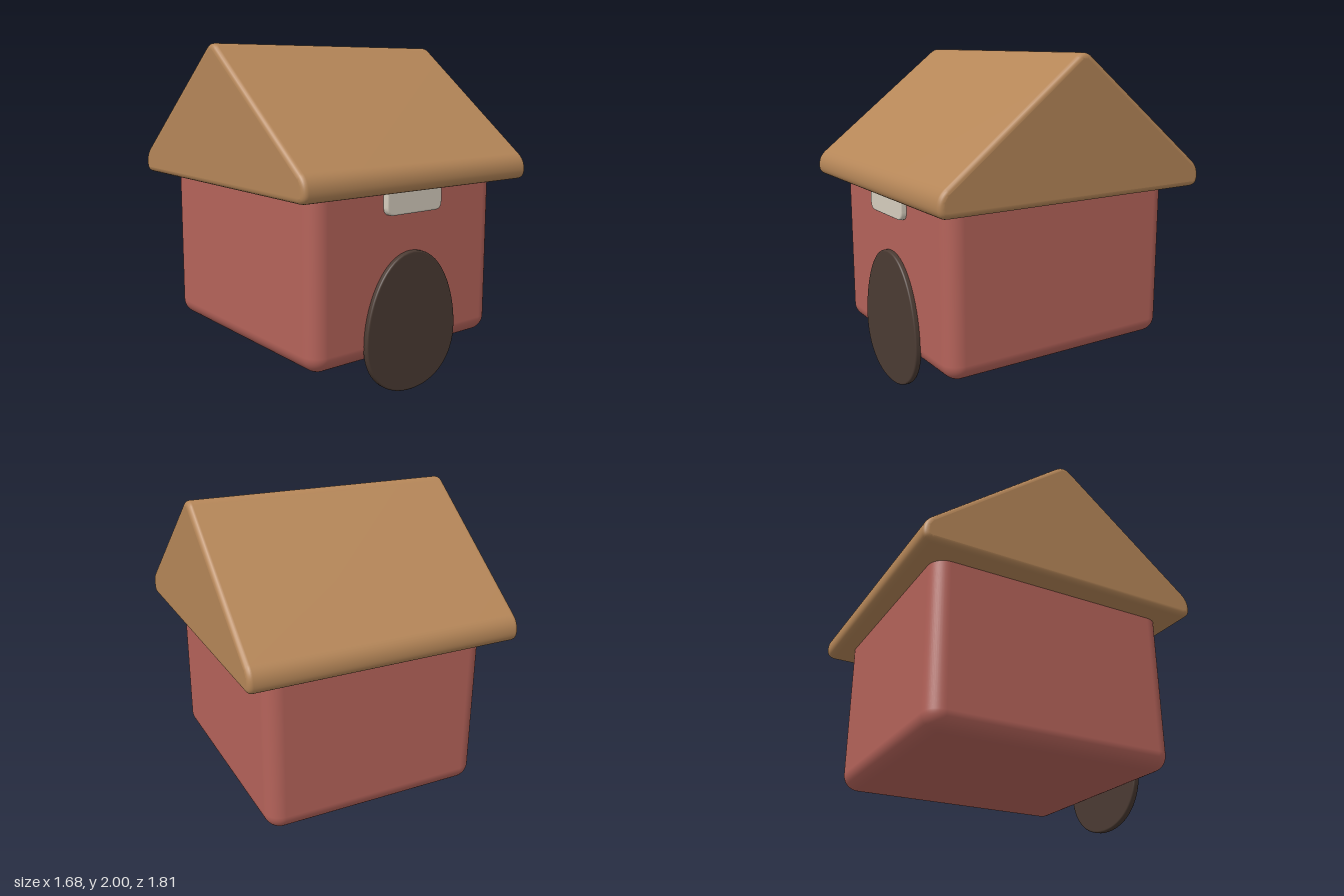
import * as THREE from 'three';
import { mergeVertices } from 'three/addons/utils/BufferGeometryUtils.js';
import { RoundedBoxGeometry } from 'three/addons/geometries/RoundedBoxGeometry.js';

// Extrudes a shape to the given overall depth, centred, with soft edges inside its outline
function softExtrude(shape, depth, bevel, curveSegments) {
  let geo = new THREE.ExtrudeGeometry(shape, {
    depth: depth - 2 * bevel, curveSegments, bevelEnabled: true,
    bevelSize: bevel, bevelThickness: bevel, bevelOffset: -bevel, bevelSegments: 4,
  });
  geo.translate(0, 0, bevel - depth / 2);
  geo.deleteAttribute('normal');
  geo.deleteAttribute('uv');
  geo = mergeVertices(geo, 1e-4);
  geo.computeVertexNormals();
  return geo;
}

// Closed shape from [x, y, trim] corners, each rounded off by its trim length
function roundedPolygon(corners) {
  const pts = corners.map(([x, y]) => new THREE.Vector2(x, y));
  const n = pts.length;
  const shape = new THREE.Shape();
  pts.forEach((p, i) => {
    const toward = (q) => p.clone().add(q.clone().sub(p).setLength(corners[i][2]));
    const a = toward(pts[(i + n - 1) % n]);
    const b = toward(pts[(i + 1) % n]);
    if (i === 0) shape.moveTo(a.x, a.y);
    else shape.lineTo(a.x, a.y);
    shape.quadraticCurveTo(p.x, p.y, b.x, b.y);
  });
  shape.closePath();
  return shape;
}

export function createModel() {
  const group = new THREE.Group();
  const add = (name, geometry, color) => {
    const mesh = new THREE.Mesh(geometry, new THREE.MeshStandardMaterial({ color }));
    mesh.name = name;
    group.add(mesh);
    return mesh;
  };

  // Walls, with the top tucked inside the roof
  const walls = add('walls', new RoundedBoxGeometry(1.39, 1.08, 1.55, 6, 0.1), 0xb5635a);
  walls.position.y = 0.76;

  // Gabled roof, ridge along x
  const gable = roundedPolygon([
    [-0.905, 1.19, 0.06], [0.905, 1.19, 0.06], [0.905, 1.31, 0.06],
    [0, 2.02, 0.064], [-0.905, 1.31, 0.06],
  ]);
  const roof = add('roof', softExtrude(gable, 1.68, 0.03, 8), 0xb58658);
  roof.rotation.y = Math.PI / 2;

  // Egg-shaped doorway
  const egg = new THREE.Shape();
  egg.moveTo(0, 0.003);
  egg.bezierCurveTo(0.2, 0.003, 0.345, 0.13, 0.345, 0.33);
  egg.bezierCurveTo(0.345, 0.55, 0.22, 0.835, 0, 0.835);
  egg.bezierCurveTo(-0.22, 0.835, -0.345, 0.55, -0.345, 0.33);
  egg.bezierCurveTo(-0.345, 0.13, -0.2, 0.003, 0, 0.003);
  const doorway = add('doorway', softExtrude(egg, 0.04, 0.01, 16), 0x4b3b33);
  doorway.position.z = 0.785;

  // Blank name plate under the eaves
  const plate = roundedPolygon([
    [-0.21, 1.055, 0.05], [0.21, 1.055, 0.05], [0.21, 1.255, 0.05], [-0.21, 1.255, 0.05],
  ]);
  const namePlate = add('namePlate', softExtrude(plate, 0.06, 0.01, 6), 0xd6cdbe);
  namePlate.position.z = 0.78;

  return group;
}
